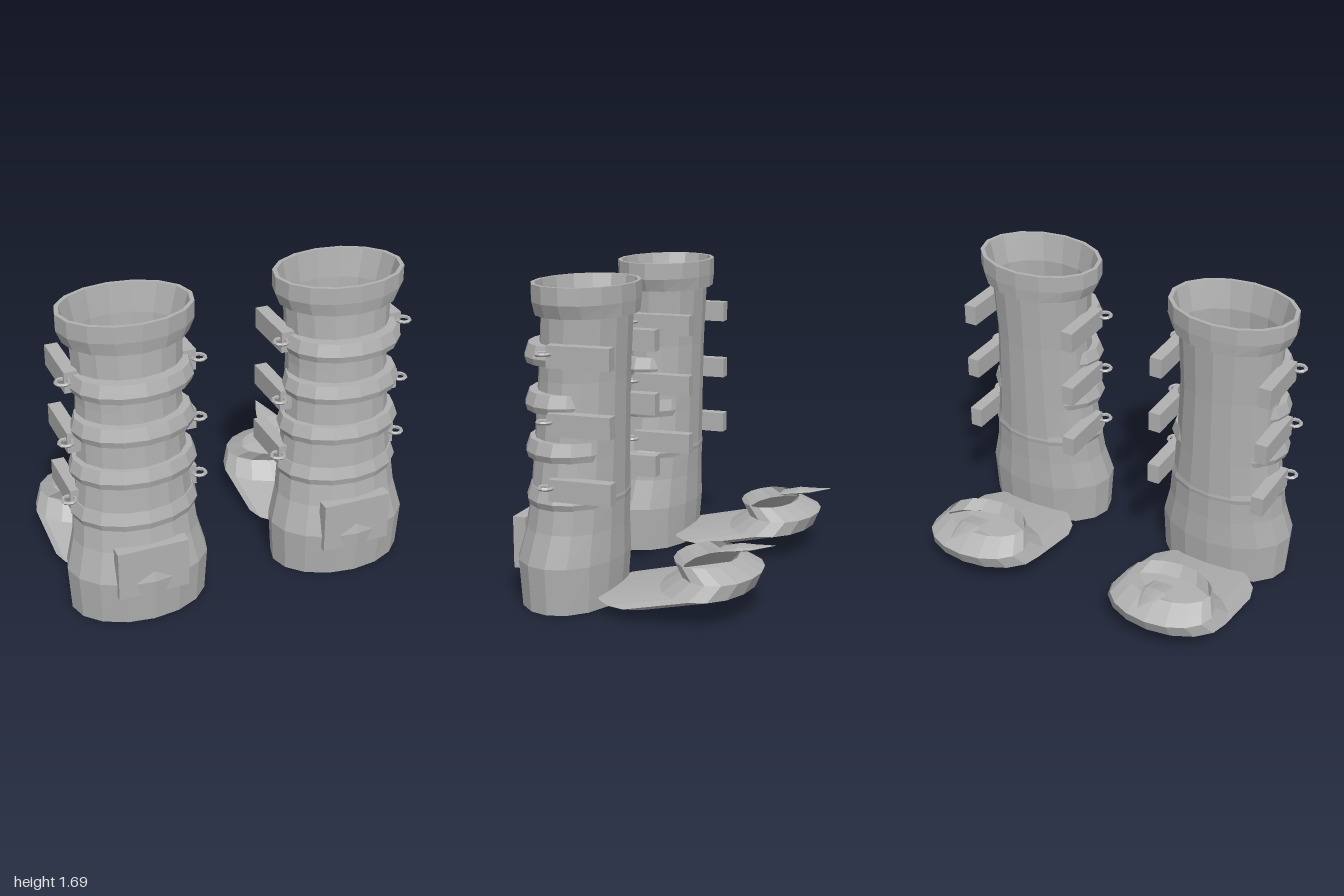
import * as THREE from 'three';

// Elliptical loft: each row is [y, half width, front z, back z]
function loft(rows, n = 16) {
  const pos = [], idx = [];
  for (const [y, hx, zf, zb] of rows) {
    for (let i = 0; i < n; i++) {
      const a = (i / n) * Math.PI * 2;
      pos.push(hx * Math.sin(a), y, (zf + zb) / 2 + ((zf - zb) / 2) * Math.cos(a));
    }
  }
  for (let r = 0; r < rows.length - 1; r++) {
    for (let i = 0; i < n; i++) {
      const a = r * n + i, b = r * n + ((i + 1) % n);
      idx.push(a, b, b + n, a, b + n, a + n);
    }
  }
  const g = new THREE.BufferGeometry();
  g.setAttribute('position', new THREE.Float32BufferAttribute(pos, 3));
  g.setIndex(idx);
  g.computeVertexNormals();
  return g;
}

function createBoot(mat) {
  const boot = new THREE.Group();
  const add = (name, geo, x = 0, y = 0, z = 0) => {
    const m = new THREE.Mesh(geo, mat);
    m.name = name;
    m.position.set(x, y, z);
    boot.add(m);
    return m;
  };

  // Open shaft, flared at the ankle
  add('shaft', loft([
    [0, 0.375, 0.675, 0.15], [0.25, 0.39, 0.695, 0.13], [0.42, 0.345, 0.65, 0.13],
    [0.56, 0.33, 0.625, 0.125], [0.8, 0.3, 0.605, 0.12], [1.2, 0.28, 0.575, 0.11],
    [1.53, 0.297, 0.55, 0.095],
  ]));

  // Collar with an inner wall
  add('collar', loft([
    [1.53, 0.297, 0.55, 0.095], [1.53, 0.33, 0.585, 0.06], [1.6, 0.36, 0.595, 0.055],
    [1.69, 0.36, 0.595, 0.055], [1.69, 0.337, 0.575, 0.075], [1.53, 0.297, 0.55, 0.095],
  ]));

  // Bands round the front that sink into the shaft towards the back
  for (const [y, hx, zb] of [[0.545, 0.347, 0.122], [0.795, 0.345, 0.132], [1.04, 0.33, 0.17], [1.285, 0.326, 0.17]]) {
    add('band', loft([
      [y, hx - 0.06, 0.56, zb + 0.01], [y, hx - 0.015, 0.635, zb + 0.005], [y + 0.035, hx, 0.642, zb],
      [y + 0.1, hx - 0.022, 0.62, zb + 0.01], [y + 0.1, hx - 0.06, 0.55, zb + 0.02],
    ]));
  }

  // Side brackets with a small ring on each
  for (const y of [0.66, 1.0, 1.345]) {
    for (const s of [-1, 1]) {
      add('bracket', new THREE.BoxGeometry(0.07, 0.115, 0.34), s * 0.315, y, 0.23);
      const ring = add('bracketRing', new THREE.TorusGeometry(0.036, 0.01, 5, 10), s * 0.36, y + 0.015, 0.41);
      ring.rotation.x = Math.PI / 2;
    }
  }

  // Front plate
  add('frontPlate', new THREE.BoxGeometry(0.39, 0.28, 0.07), 0, 0.315, 0.645);

  // Rear cup with a tongue reaching into the shaft
  add('rearCup', loft([
    [0.07, 0, 0.02, 0.0], [0.07, 0.34, 0.25, -0.24], [0.15, 0.35, -0.1, -0.59],
    [0.23, 0.3, -0.21, -0.625], [0.295, 0.245, -0.168, -0.493],
  ]));

  // Flat spike above the cup, lofted along -z
  const spike = loft([
    [0.4, 0, 0.333, 0.331], [0.4, 0.06, 0.336, 0.33], [0.5, 0.07, 0.365, 0.336],
    [0.58, 0.048, 0.369, 0.348], [0.695, 0.001, 0.381, 0.379],
  ], 8);
  spike.rotateX(-Math.PI / 2);
  add('spike', spike);
  return boot;
}

export function createModel() {
  const grey = new THREE.MeshStandardMaterial({ color: 0xb0b0b0, flatShading: true, side: THREE.DoubleSide });
  grey.name = 'grey';
  const model = new THREE.Group();
  for (const [name, x] of [['leftBoot', 0.59], ['rightBoot', -0.59]]) {
    const boot = createBoot(grey);
    boot.name = name;
    boot.position.x = x;
    model.add(boot);
  }
  return model;
}
